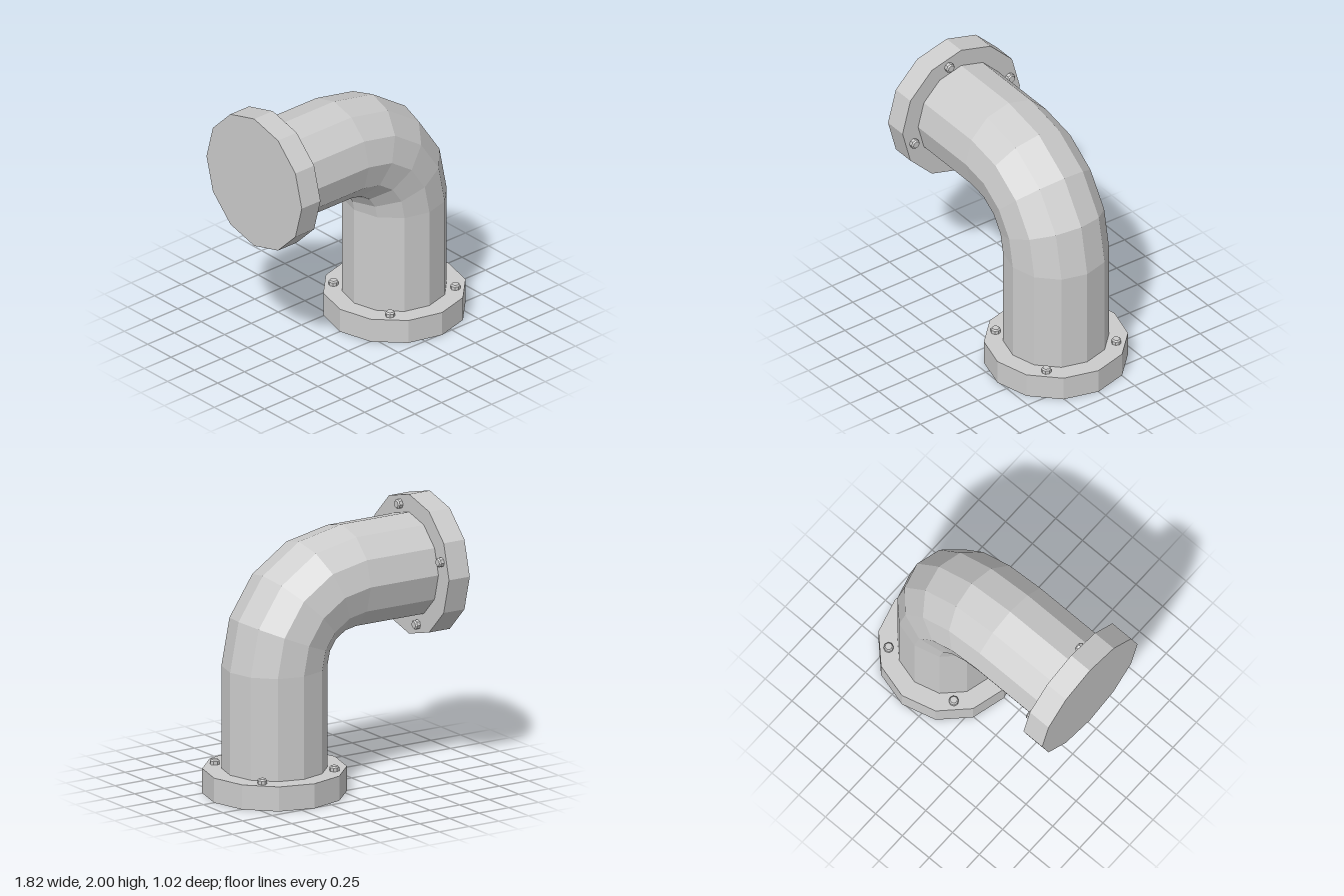
import * as THREE from 'three';

const SIDES = 12, PIPE_R = 0.375, BEND_R = 0.565, FLANGE_R = 0.51, BOLT_RING = 0.43;
const BEND_X = -0.165, BEND_Y = 0.93, BEND_STEPS = 4;
const material = new THREE.MeshStandardMaterial({ color: 0xcccccc, flatShading: true });

function makeMesh(name, geometry) {
  const mesh = new THREE.Mesh(geometry, material);
  mesh.name = name;
  return mesh;
}

// Twelve-sided pipe: straight run, quarter bend in four steps, straight drop
function elbowPipe() {
  const rings = [{ x: -0.8, y: BEND_Y + BEND_R, a: 0 }];
  for (let i = 0; i <= BEND_STEPS; i++) {
    const a = (i / BEND_STEPS) * Math.PI / 2;
    rings.push({ x: BEND_X + BEND_R * Math.sin(a), y: BEND_Y + BEND_R * Math.cos(a), a });
  }
  rings.push({ x: BEND_X + BEND_R, y: 0.1, a: Math.PI / 2 });

  const positions = [], index = [];
  rings.forEach(({ x, y, a }, i) => {
    for (let j = 0; j < SIDES; j++) {
      const t = (j / SIDES) * Math.PI * 2, out = PIPE_R * Math.cos(t);
      positions.push(x + out * Math.sin(a), y + out * Math.cos(a), PIPE_R * Math.sin(t));
      if (i === rings.length - 1) continue;
      const p = i * SIDES + j, q = i * SIDES + (j + 1) % SIDES;
      index.push(p, q, p + SIDES, q, q + SIDES, p + SIDES);
    }
  });
  const indexed = new THREE.BufferGeometry();
  indexed.setAttribute('position', new THREE.Float32BufferAttribute(positions, 3));
  indexed.setIndex(index);
  const geometry = indexed.toNonIndexed();
  geometry.computeVertexNormals();
  return makeMesh('elbowPipe', geometry);
}

// Closed flange disc standing on its outer face, with four bolts on the inner face
function flange(name, thickness, boltTurn) {
  const group = new THREE.Group();
  group.name = name;
  const disc = new THREE.CylinderGeometry(FLANGE_R, FLANGE_R, thickness, SIDES);
  disc.translate(0, thickness / 2, 0);
  group.add(makeMesh('flangeDisc', disc));

  const profile = [[0.035, 0], [0.035, 0.026], [0.026, 0.036], [0, 0.036]];
  const head = new THREE.LatheGeometry(profile.map(([r, y]) => new THREE.Vector2(r, y)), 8);
  for (let i = 0; i < 4; i++) {
    const a = boltTurn + i * Math.PI / 2;
    const bolt = makeMesh('bolt', head);
    bolt.position.set(BOLT_RING * Math.cos(a), thickness, BOLT_RING * Math.sin(a));
    group.add(bolt);
  }
  return group;
}

export function createModel() {
  const model = new THREE.Group();
  model.name = 'pipeElbow';
  model.add(elbowPipe());

  const base = flange('baseFlange', 0.18, Math.PI / 4);
  base.position.set(BEND_X + BEND_R, 0, 0);
  model.add(base);

  const side = flange('sideFlange', 0.175, -Math.PI / 12);
  side.rotation.z = -Math.PI / 2;
  side.position.set(-0.91, 1.49, 0);
  model.add(side);
  return model;
}
